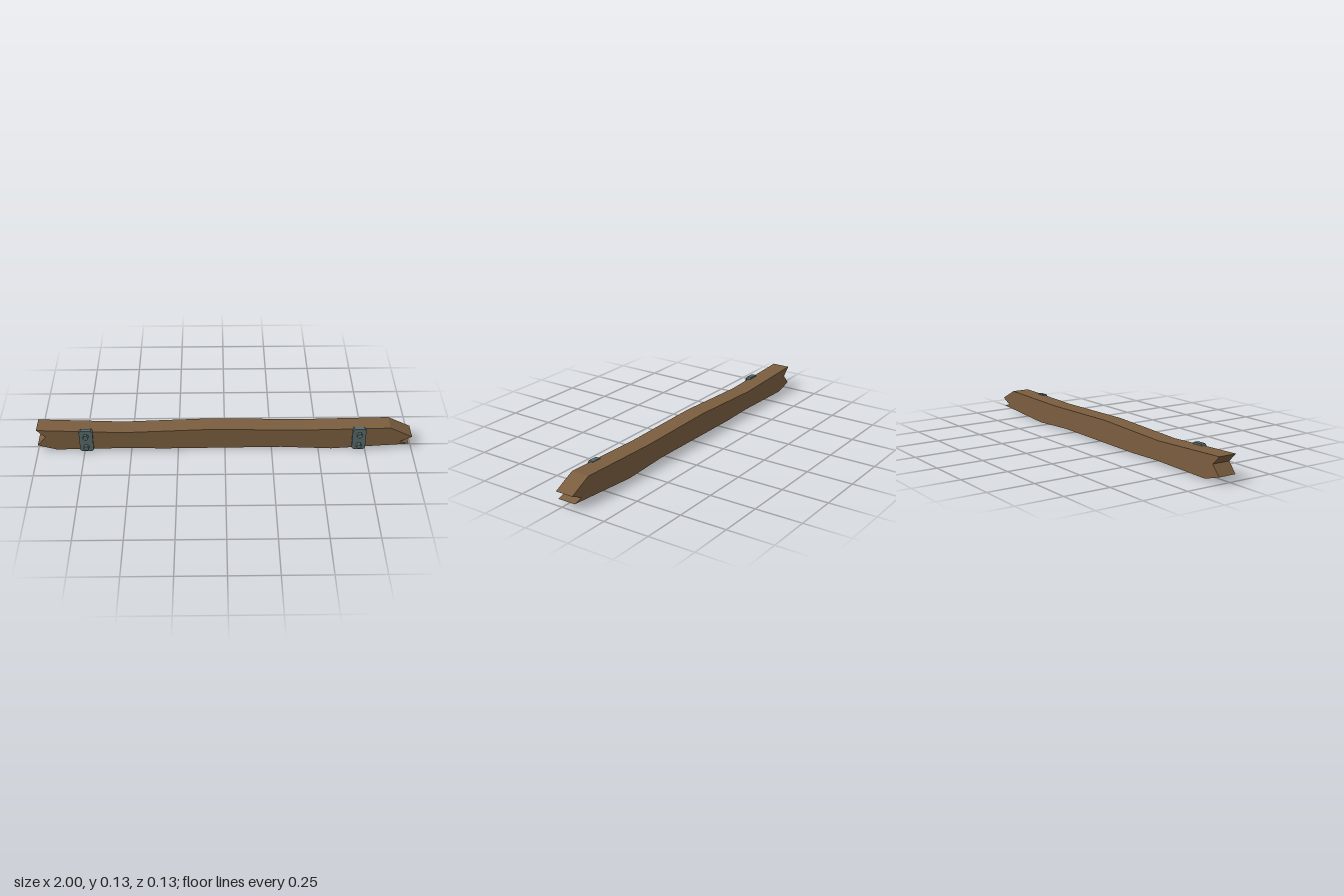
import * as THREE from 'three';

// Extrude a flat outline from z0 to z1
function slab(points, z0, z1, material, name) {
  const shape = new THREE.Shape(points.map(([x, y]) => new THREE.Vector2(x, y)));
  const geometry = new THREE.ExtrudeGeometry(shape, { depth: z1 - z0, bevelEnabled: false });
  geometry.translate(0, 0, z0);
  const mesh = new THREE.Mesh(geometry, material);
  mesh.name = name;
  return mesh;
}

export function createModel() {
  const wood = new THREE.MeshStandardMaterial({ color: 0x7a5d3e, flatShading: true });
  wood.name = 'brown wood';
  const metal = new THREE.MeshStandardMaterial({ color: 0x566a69, flatShading: true });
  metal.name = 'grey metal';

  const model = new THREE.Group();
  model.name = 'brokenPlank';

  // Warped plank with splintered ends, counter-clockwise from the lower left
  const outline = [
    [-1, 0.035], [-0.9, 0.006], [-0.52, 0.013], [-0.33, 0.008], [0.3, 0.013],
    [0.57, 0], [0.985, 0.028], [0.935, 0.042], [1, 0.073], [0.88, 0.132],
    [0.42, 0.123], [-0.08, 0.132], [-0.54, 0.115], [-1, 0.133], [-0.953, 0.088],
  ];
  model.add(slab(outline, -0.066, 0.034, wood, 'plank'));

  // Bolted brackets: a plate with clipped corners and two hexagonal bolts
  const w = 0.036, h = 0.064, c = 0.009;
  const plate = [
    [-w + c, -h], [w - c, -h], [w, -h + c], [w, h - c],
    [w - c, h], [-w + c, h], [-w, h - c], [-w, -h + c],
  ];
  const boltGeometry = new THREE.CylinderGeometry(0.0145, 0.0145, 0.026, 6);
  boltGeometry.rotateY(Math.PI / 6).rotateX(Math.PI / 2);
  for (const x of [-0.738, 0.715]) {
    const bracket = new THREE.Group();
    bracket.name = x < 0 ? 'rightBracket' : 'leftBracket';
    bracket.position.set(x, 0.068, 0);
    bracket.add(slab(plate, 0.02, 0.046, metal, 'plate'));
    for (const y of [-0.034, 0.034]) {
      const bolt = new THREE.Mesh(boltGeometry, metal);
      bolt.name = 'bolt';
      bolt.position.set(0, y, 0.053);
      bracket.add(bolt);
    }
    model.add(bracket);
  }
  return model;
}
